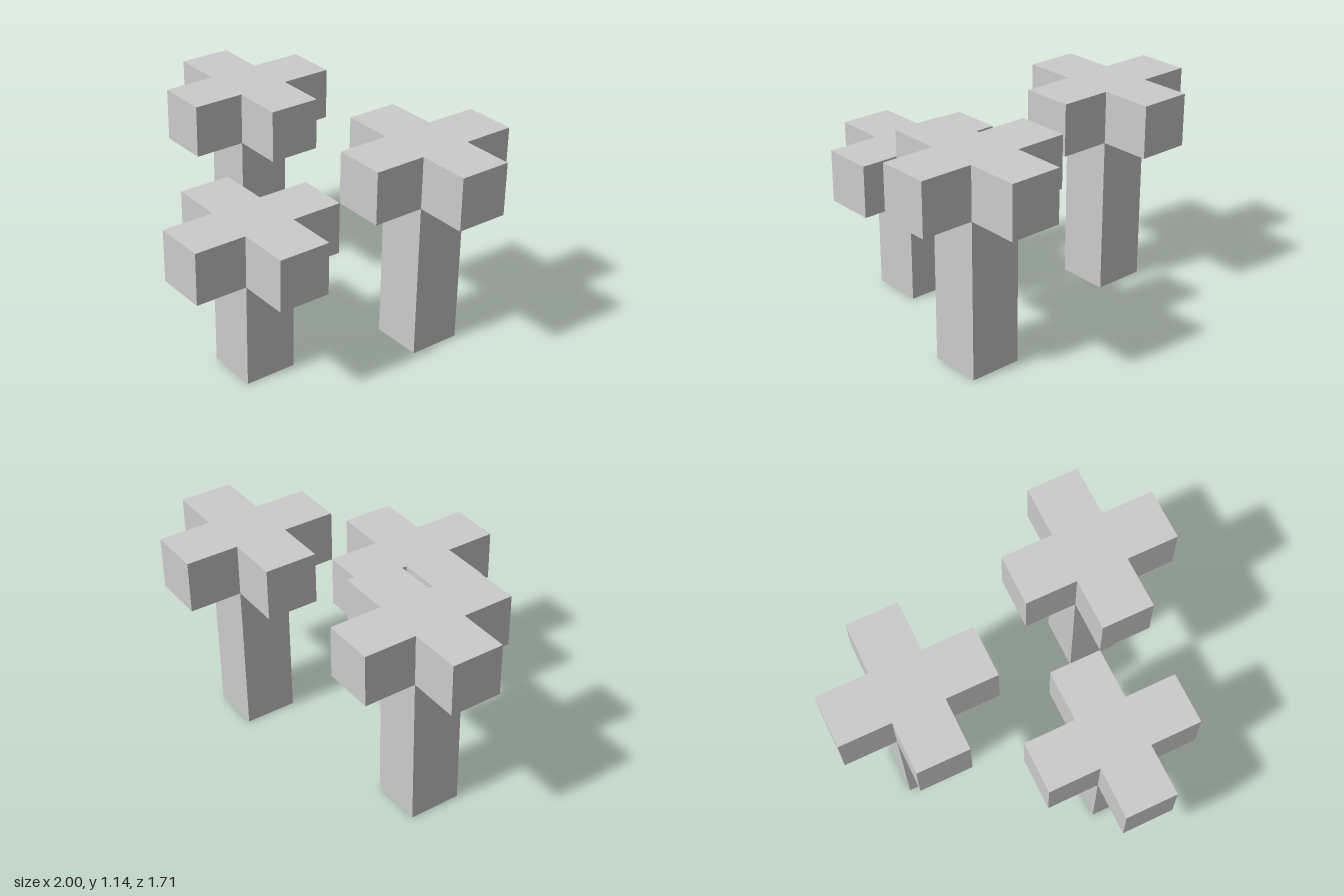
import * as THREE from 'three';

const U = 2 / 7; // edge of one block

// Plus-shaped slab, one block thick, resting on y = 0
function crossGeometry() {
  const a = U / 2, b = U * 1.5;
  const points = [];
  for (let i = 0; i < 4; i++) {
    const c = Math.round(Math.cos(i * Math.PI / 2));
    const s = Math.round(Math.sin(i * Math.PI / 2));
    for (const [x, y] of [[b, -a], [b, a], [a, a]]) {
      points.push(new THREE.Vector2(c * x - s * y, s * x + c * y));
    }
  }
  const geometry = new THREE.ExtrudeGeometry(new THREE.Shape(points), { depth: U, bevelEnabled: false });
  return geometry.rotateX(-Math.PI / 2);
}

export function createModel() {
  const model = new THREE.Group();
  model.name = 'blockTrees';
  const material = new THREE.MeshStandardMaterial({ color: 0xcccccc, flatShading: true });
  const crown = crossGeometry();

  // Each tree: name, centre x and z, trunk height, all in blocks
  const trees = [
    ['rightTree', -2, -0.5, 3],
    ['leftTree', 2, -1.5, 3],
    ['frontTree', 1, 1.5, 2],
  ];
  for (const [name, x, z, height] of trees) {
    const tree = new THREE.Group();
    tree.name = name;
    tree.position.set(x * U, 0, z * U);

    const trunk = new THREE.Mesh(new THREE.BoxGeometry(U, height * U, U), material);
    trunk.name = 'trunk';
    trunk.position.y = height * U / 2;

    const top = new THREE.Mesh(crown, material);
    top.name = 'crown';
    top.position.y = height * U;

    tree.add(trunk, top);
    model.add(tree);
  }
  return model;
}
